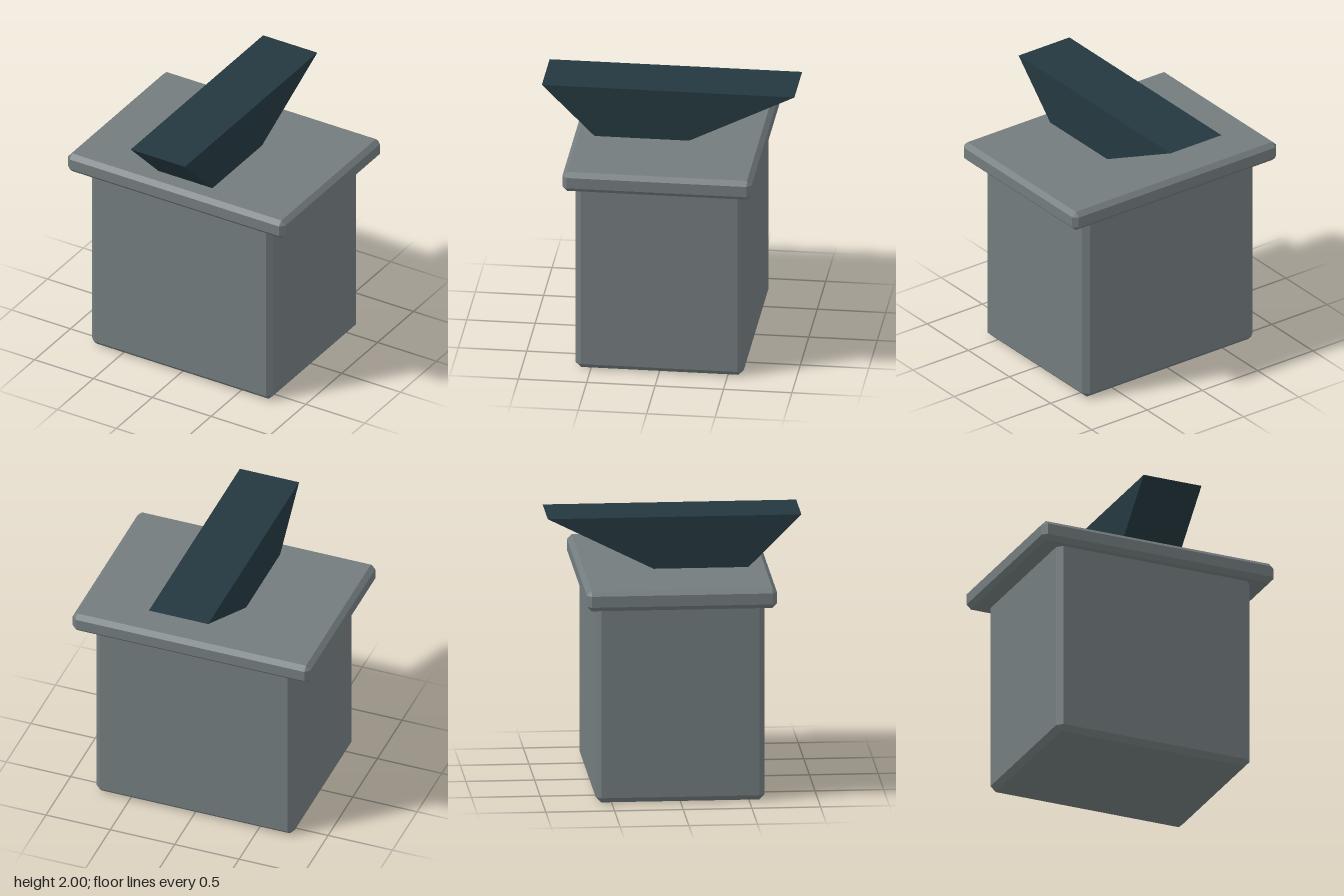
import * as THREE from 'three';
import { ConvexGeometry } from 'three/addons/geometries/ConvexGeometry.js';

// Box with flat chamfers on all edges, from half sizes and a bevel width
function chamferBox(hx, hy, hz, b) {
  const points = [];
  for (const x of [-1, 1]) for (const y of [-1, 1]) for (const z of [-1, 1]) {
    points.push(
      new THREE.Vector3(x * hx, y * (hy - b), z * (hz - b)),
      new THREE.Vector3(x * (hx - b), y * hy, z * (hz - b)),
      new THREE.Vector3(x * (hx - b), y * (hy - b), z * hz)
    );
  }
  return new ConvexGeometry(points);
}

export function createModel() {
  const group = new THREE.Group();
  const grey = new THREE.MeshStandardMaterial({ color: 0x737c7e, flatShading: true });
  grey.name = 'housing grey';
  const dark = new THREE.MeshStandardMaterial({ color: 0x24383f, flatShading: true });
  dark.name = 'rocker dark teal';

  const add = (name, geometry, material, y = 0) => {
    const mesh = new THREE.Mesh(geometry, material);
    mesh.name = name;
    mesh.position.y = y;
    group.add(mesh);
    return mesh;
  };

  // Housing, its top tucked inside the cover plate
  add('housing', chamferBox(0.77, 0.77, 0.615, 0.04), grey, 0.77);

  // Overhanging cover plate
  add('coverPlate', chamferBox(0.923, 0.075, 0.692, 0.034), grey, 1.54);

  // Rocker: side profile (z, y) extruded across x
  const profile = new THREE.Shape([
    new THREE.Vector2(-0.923, 2),
    new THREE.Vector2(-0.123, 1.6),
    new THREE.Vector2(0.523, 1.6),
    new THREE.Vector2(0.923, 2)
  ]);
  const rocker = new THREE.ExtrudeGeometry(profile, { depth: 0.46, bevelEnabled: false });
  rocker.translate(0, 0, -0.23).rotateY(-Math.PI / 2);
  add('rocker', rocker, dark);

  return group;
}
